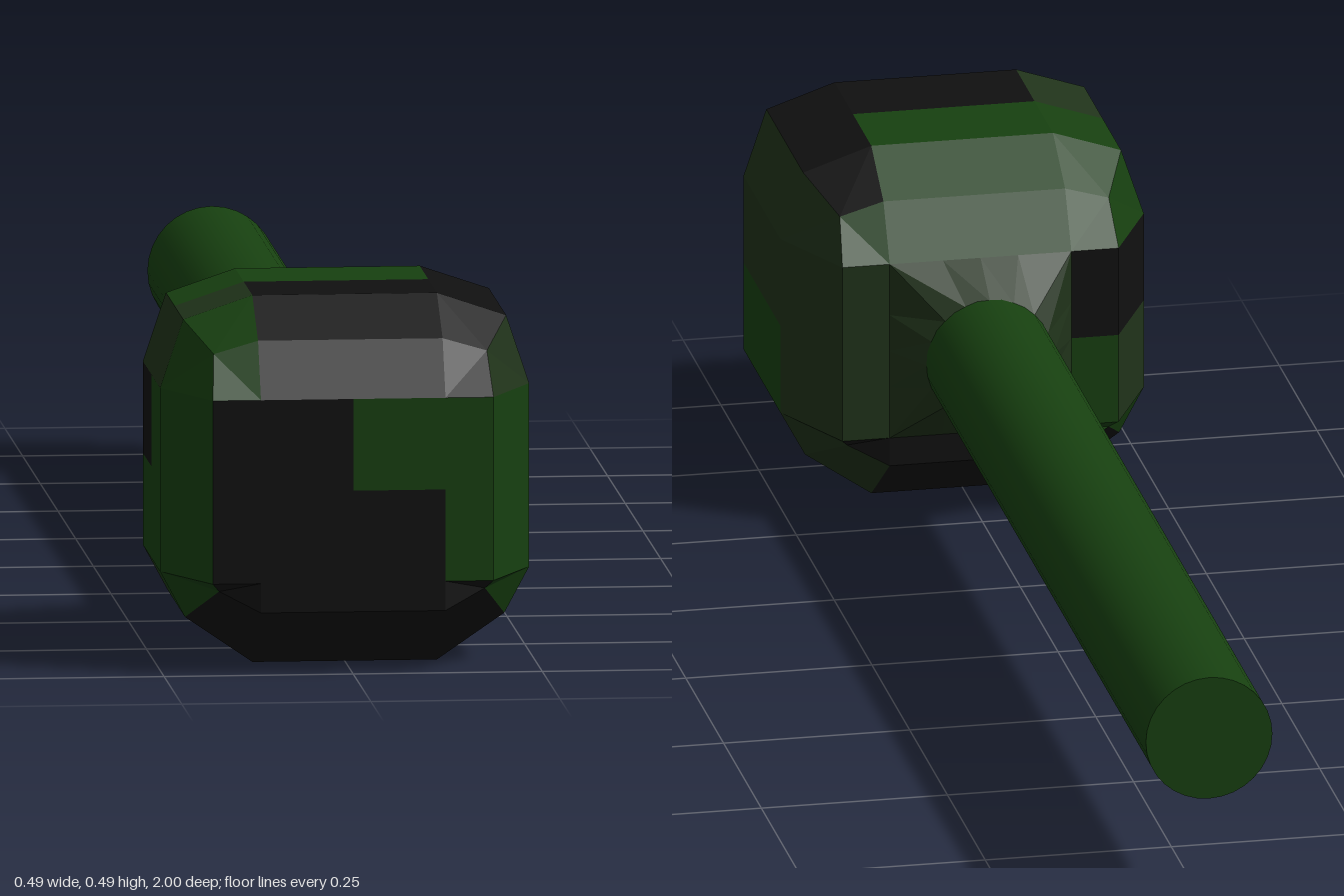
import * as THREE from 'three';

const COLORS = { g: 0x174010, k: 0x101010, o: 0x20331a };
const NAMES = { g: 'headGreenPatches', k: 'headBlackPatches', o: 'headOlivePatches' };
const H = 0.244;        // half size of the head, also its centre height
const HEAD_Z = 0.757;

// Camouflage of each side seen from outside: right axis, up axis, rows from the top
const SIDES = [
  { r: [1, 0, 0], u: [0, 1, 0], rows: ['gkkk', 'kkgg', 'kkkg', 'kkkk'] },   // front
  { r: [0, 0, -1], u: [0, 1, 0], rows: ['oooo', 'gooo', 'gggo', 'gggo'] },  // +x side
  { r: [-1, 0, 0], u: [0, 1, 0], rows: ['gggg', 'oook', 'ooog', 'kkkg'] },  // back
  { r: [0, 0, 1], u: [0, 1, 0], rows: ['goog', 'kkgg', 'oggg', 'gogg'] },   // -x side
  { r: [1, 0, 0], u: [0, 0, -1], rows: ['gggk', 'gggk', 'okkk', 'gkkk'] },  // top
  { r: [1, 0, 0], u: [0, 0, 1], rows: ['kkkk', 'kkkk', 'kogg', 'kkko'] },   // bottom
];

// Pull the edges and corners of the unit cube inwards
function roundOff([x, y, z]) {
  const ex = Math.abs(x) === 1, ey = Math.abs(y) === 1, ez = Math.abs(z) === 1;
  const top = y > 0;
  let s = [1, 1, 1];
  if (ex && ey && ez) s = top ? [0.74, 0.73, 0.83] : [0.72, 0.55, 0.93];
  else if (ex && ey) s = top ? [0.875, 0.873, 1] : [0.865, 0.75, 1];
  else if (ex && ez) s = [0.76, 1, 1];
  else if (ey && ez) s = top ? [1, 0.8, 0.83] : [1, 0.66, 1];
  return [x * s[0] * H, y * s[1] * H + H, z * s[2] * H + HEAD_Z];
}

function material(key, flatShading) {
  return new THREE.MeshStandardMaterial({ color: COLORS[key], flatShading });
}

function mesh(positions, key, name) {
  const geo = new THREE.BufferGeometry();
  geo.setAttribute('position', new THREE.Float32BufferAttribute(positions, 3));
  geo.computeVertexNormals();
  const m = new THREE.Mesh(geo, material(key, true));
  m.name = name;
  return m;
}

function buildHead() {
  const head = new THREE.Group();
  head.name = 'head';
  const pos = { g: [], k: [], o: [] };
  for (const { r, u, rows } of SIDES) {
    const R = new THREE.Vector3(...r), U = new THREE.Vector3(...u);
    const N = R.clone().cross(U);
    const corner = (i, j) => roundOff(N.clone()
      .addScaledVector(R, i / 2 - 1).addScaledVector(U, 1 - j / 2).toArray());
    for (let j = 0; j < 4; j++) for (let i = 0; i < 4; i++) {
      const a = corner(i, j + 1), b = corner(i + 1, j + 1);
      const c = corner(i + 1, j), d = corner(i, j);
      // on alternate quadrants the diagonal is mirrored
      const tris = (i < 2) === (j < 2) ? [a, b, d, b, c, d] : [a, b, c, a, c, d];
      pos[rows[j][i]].push(...tris.flat());
    }
  }
  for (const key of Object.keys(pos)) head.add(mesh(pos[key], key, NAMES[key]));
  return head;
}

// Neck: square on the head narrowing to the round handle
function buildNeck() {
  const n = 16, pos = [];
  const ring = (k, square) => {
    const a = k / n * Math.PI * 2, c = Math.cos(a), s = Math.sin(a);
    const rad = square ? 0.122 / Math.max(Math.abs(c), Math.abs(s)) : 0.084;
    return [c * rad, H + s * rad, square ? HEAD_Z - H : 0.45];
  };
  for (let k = 0; k < n; k++) {
    const a = ring(k, true), b = ring(k + 1, true);
    const c = ring(k + 1, false), d = ring(k, false);
    pos.push(...[a, c, b, a, d, c].flat());
  }
  return mesh(pos, 'o', 'neck');
}

export function createModel() {
  const model = new THREE.Group();
  model.name = 'mallet';
  model.add(buildHead(), buildNeck());

  // Long round handle pointing backwards
  const length = 1.46;
  const handle = new THREE.Mesh(new THREE.CylinderGeometry(0.085, 0.085, length, 32), material('g', false));
  handle.name = 'handle';
  handle.rotation.x = Math.PI / 2;
  handle.position.set(0, H, -1 + length / 2);
  model.add(handle);
  return model;
}
